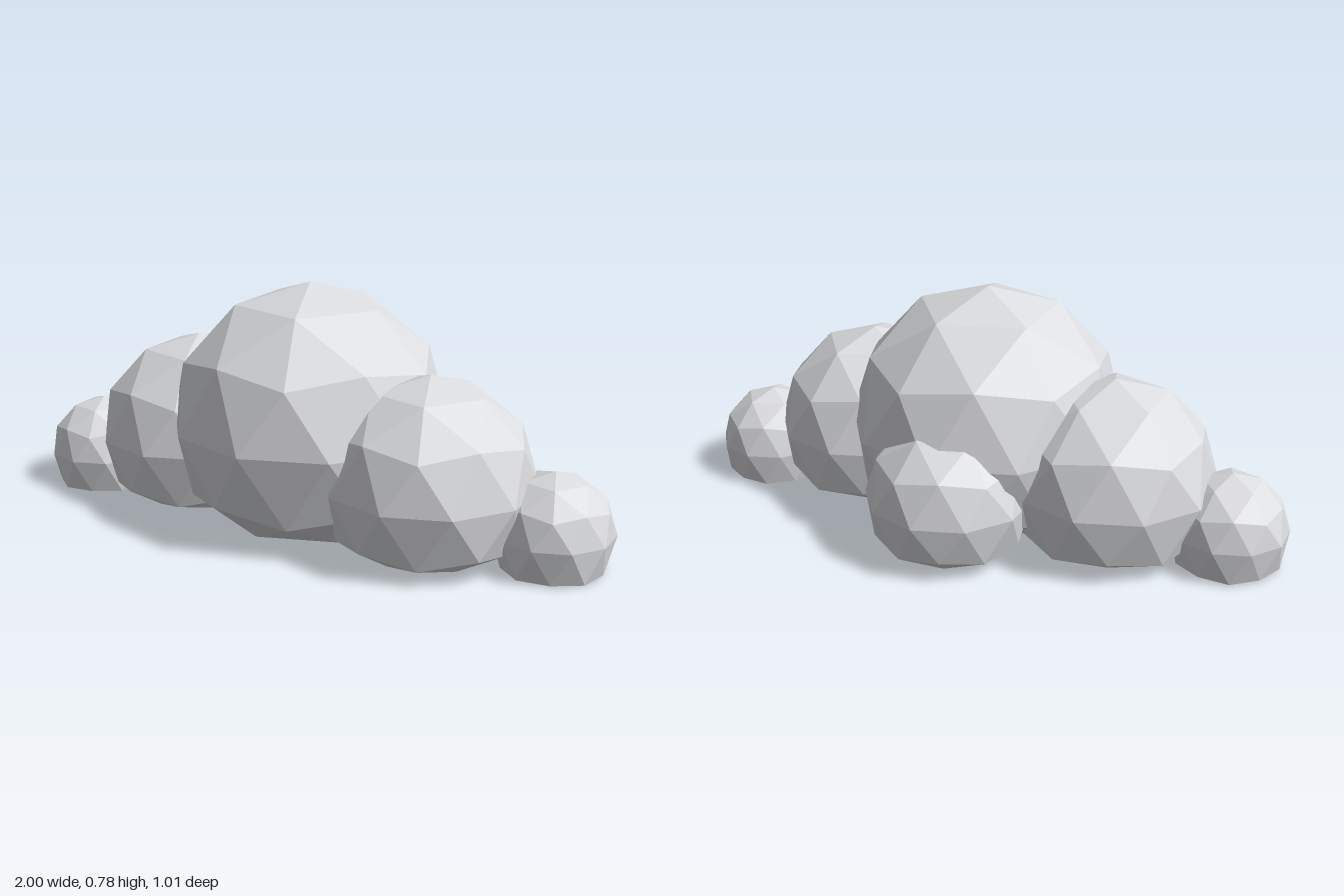
import * as THREE from 'three';

// Low-poly puff: an icosphere with a vertex on top and its underside pressed flat on the ground
function puff(name, radius, x, y, z, material) {
  const geometry = new THREE.IcosahedronGeometry(radius, 1);
  geometry.rotateZ(-Math.atan(2 / (1 + Math.sqrt(5))));
  geometry.translate(x, y, z);
  const p = geometry.attributes.position;
  for (let i = 0; i < p.count; i++) {
    const h = p.getY(i);
    if (h < 0) p.setY(i, 0);
    else if (h < 0.035) p.setY(i, 0.004); // low rims settle almost to the ground
  }
  geometry.computeVertexNormals();
  const mesh = new THREE.Mesh(geometry, material);
  mesh.name = name;
  return mesh;
}

export function createModel() {
  const cloud = new THREE.Group();
  cloud.name = 'cloud';
  const grey = new THREE.MeshStandardMaterial({ color: 0xdcdde0, flatShading: true });
  grey.name = 'cloud grey';

  // name, radius, x, y, z
  const puffs = [
    ['centrePuff', 0.447, 0, 0.337, 0.057],
    ['leftPuff', 0.335, 0.447, 0.225, 0.127],
    ['rightPuff', 0.335, -0.447, 0.225, 0.016],
    ['leftEndPuff', 0.187, 0.822, 0.112, 0.055],
    ['rightEndPuff', 0.187, -0.822, 0.112, 0.055],
    ['backPuff', 0.266, 0, 0.189, -0.236],
  ];
  for (const [name, r, x, y, z] of puffs) cloud.add(puff(name, r, x, y, z, grey));
  return cloud;
}
